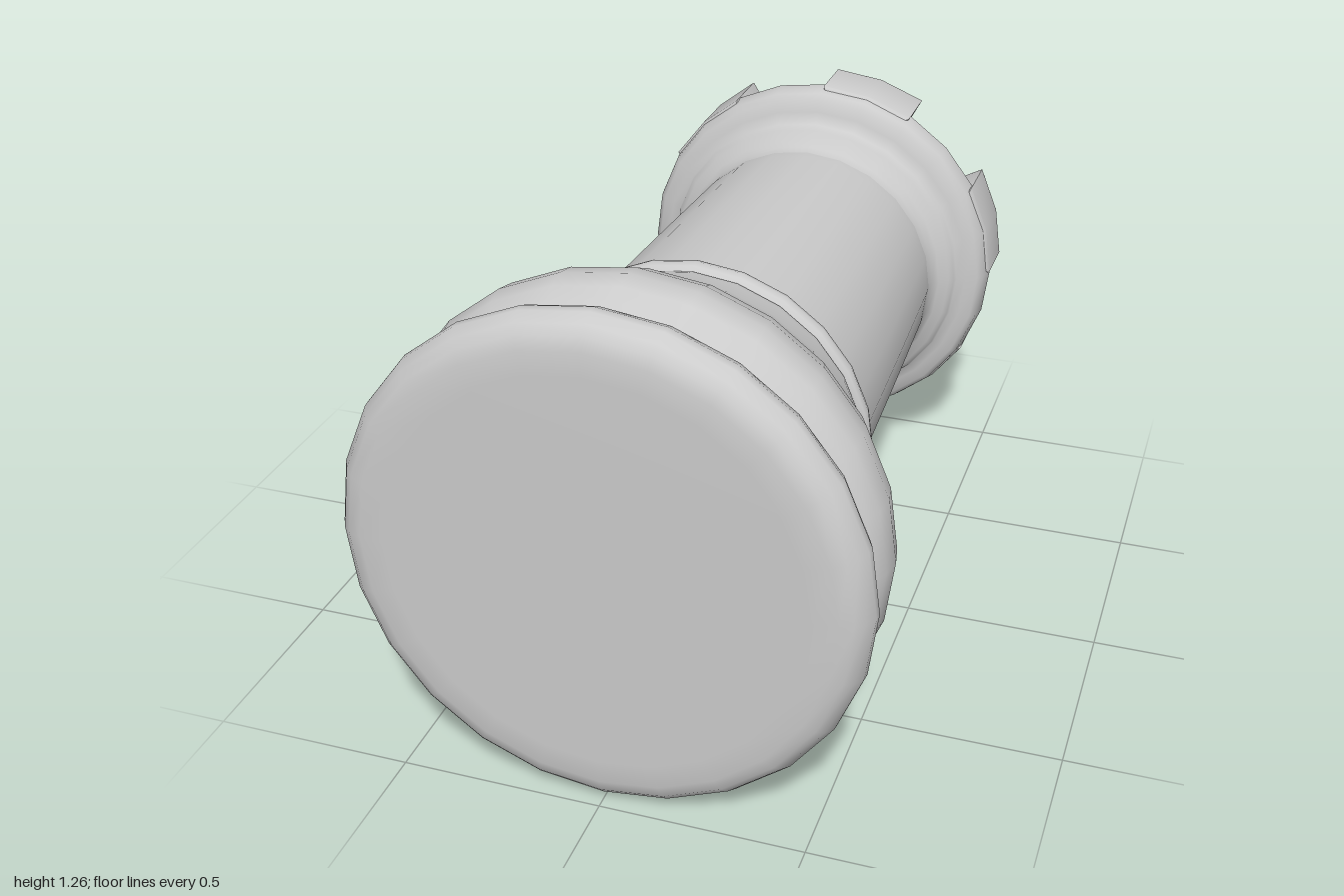
import * as THREE from 'three';
import { toCreasedNormals } from 'three/addons/utils/BufferGeometryUtils.js';

const SIDES = 24;
const material = new THREE.MeshStandardMaterial({ color: 0xcccccc });

// Turned part from [radius, height] pairs, listed from the bottom up
function turned(name, profile) {
  const points = profile.map(([r, h]) => new THREE.Vector2(r, h));
  const mesh = new THREE.Mesh(new THREE.LatheGeometry(points, SIDES), material);
  mesh.name = name;
  return mesh;
}

// One battlement: a 30 degree ring sector with softened edges
function battlement(startDeg) {
  const inner = 0.435, outer = 0.498, bevel = 0.014, inset = 1.6;
  const angles = [startDeg + inset, startDeg + 15, startDeg + 30 - inset].map(THREE.MathUtils.degToRad);
  const at = (r, a) => new THREE.Vector2(r * Math.cos(a), r * Math.sin(a));
  const shape = new THREE.Shape([
    ...angles.map(a => at(outer, a)),
    ...angles.slice().reverse().map(a => at(inner, a)),
  ]);
  const geometry = new THREE.ExtrudeGeometry(shape, {
    depth: 0.15, bevelEnabled: true, bevelSize: bevel, bevelThickness: bevel, bevelSegments: 3,
  });
  const mesh = new THREE.Mesh(toCreasedNormals(geometry, 0.7), material);
  mesh.name = 'battlement';
  // Extruded along z, so the far end lands on the top of the tower
  mesh.position.z = -2 + bevel;
  return mesh;
}

export function createModel() {
  const model = new THREE.Group();
  model.name = 'rook';

  // Turned body, laid along z with the base facing the front
  const body = new THREE.Group();
  body.name = 'body';
  body.rotation.x = -Math.PI / 2;
  body.add(
    turned('base', [
      [0, 0], [0.5, 0], [0.56, 0.004], [0.592, 0.014], [0.612, 0.032], [0.628, 0.06], [0.63, 0.08],
      [0.618, 0.108], [0.59, 0.125], [0.56, 0.14], [0.543, 0.16], [0.553, 0.178], [0.585, 0.2],
      [0.607, 0.23], [0.616, 0.28], [0.605, 0.335], [0.575, 0.4], [0.53, 0.47], [0.488, 0.54],
      [0.462, 0.6], [0.448, 0.66], [0.438, 0.69],
    ]),
    turned('collar', [
      [0.438, 0.69], [0.432, 0.697], [0.445, 0.707], [0.45, 0.722], [0.446, 0.738],
      [0.43, 0.752], [0.414, 0.77], [0.406, 0.795],
    ]),
    turned('shaft', [[0.406, 0.795], [0.404, 0.84], [0.388, 1.25], [0.371, 1.64], [0.368, 1.68]]),
    turned('head', [
      [0.368, 1.68], [0.372, 1.71], [0.386, 1.728], [0.412, 1.742], [0.425, 1.755], [0.43, 1.768],
      [0.455, 1.776], [0.487, 1.785], [0.502, 1.802], [0.507, 1.83], [0.511, 1.855], [0.506, 1.865],
      [0.492, 1.87], [0.455, 1.87], [0.438, 1.864], [0.425, 1.853], [0.41, 1.85], [0, 1.85],
    ]),
  );
  model.add(body);

  // Six evenly spaced battlements around the rim
  const battlements = new THREE.Group();
  battlements.name = 'battlements';
  for (let i = 0; i < 6; i++) battlements.add(battlement(i * 60));
  model.add(battlements);

  // Rest the piece on the ground and centre its length
  for (const part of [body, battlements]) part.position.set(0, 0.63, 1);
  return model;
}
